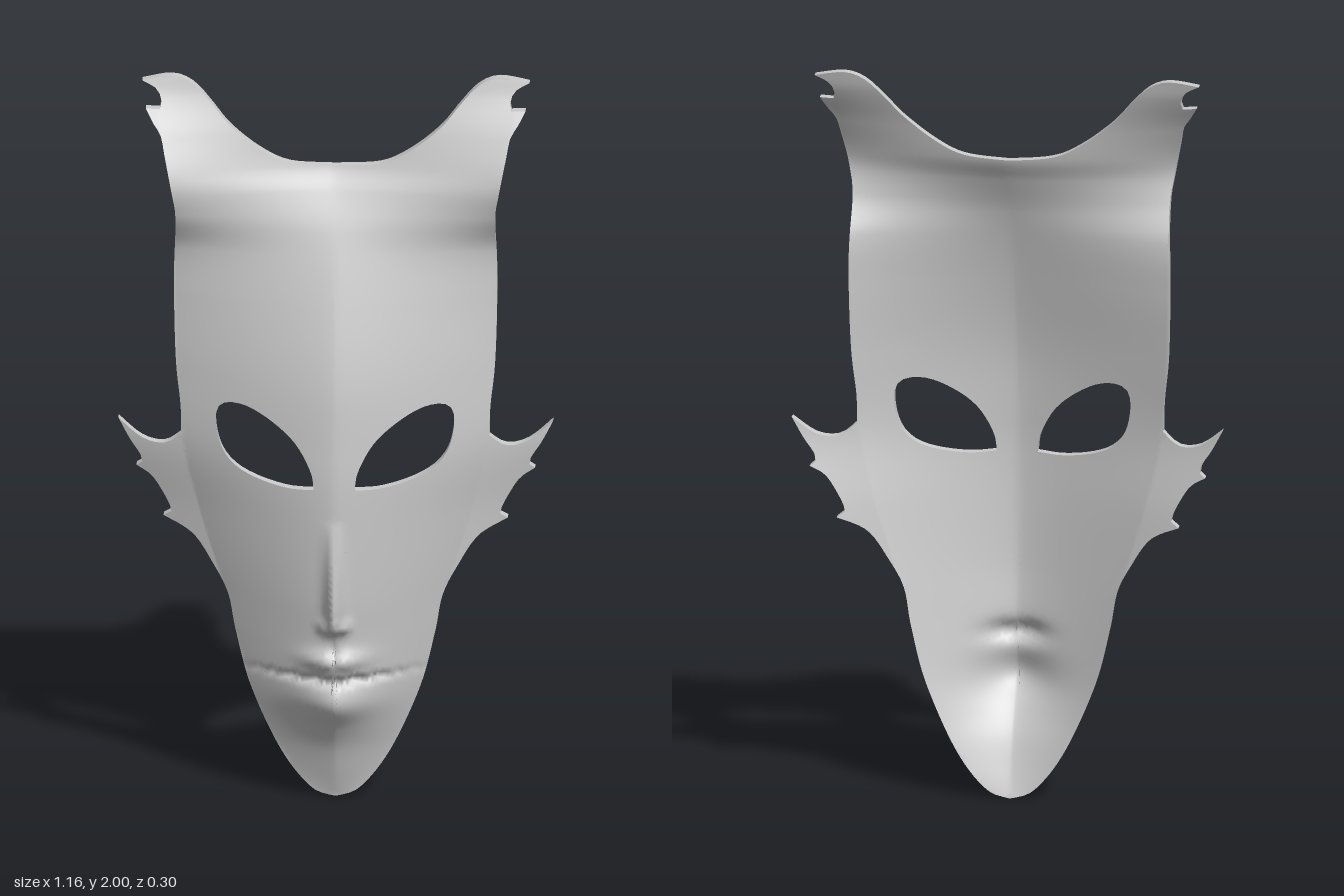
import * as THREE from 'three';
import { toCreasedNormals } from 'three/addons/utils/BufferGeometryUtils.js';

const V = (x, y) => new THREE.Vector2(x, y);
const THICK = 0.028, MAX_EDGE = 0.024;

// Smooth curve through [position, value] pairs
function table(pts) {
  const n = pts.length;
  const slope = pts.map((p, i) => {
    const a = pts[Math.max(i - 1, 0)], b = pts[Math.min(i + 1, n - 1)];
    return (b[1] - a[1]) / (b[0] - a[0]);
  });
  return (t) => {
    t = THREE.MathUtils.clamp(t, pts[0][0], pts[n - 1][0]);
    let i = 0;
    while (i < n - 2 && t > pts[i + 1][0]) i++;
    const d = pts[i + 1][0] - pts[i][0], s = (t - pts[i][0]) / d;
    const s2 = s * s, s3 = s2 * s;
    return (2 * s3 - 3 * s2 + 1) * pts[i][1] + (s3 - 2 * s2 + s) * d * slope[i]
      + (3 * s2 - 2 * s3) * pts[i + 1][1] + (s3 - s2) * d * slope[i + 1];
  };
}

// Depth of the centre line and of the side edge, and half width, by height
const centreZ = table([[0, -0.045], [0.07, -0.02], [0.15, 0.01], [0.22, 0.045], [0.3, 0.075], [0.4, 0.09],
  [0.5, 0.1], [0.6, 0.11], [0.75, 0.117], [0.9, 0.12], [1.0, 0.116], [1.2, 0.098], [1.4, 0.055],
  [1.6, -0.005], [1.7, -0.05], [1.76, -0.082], [1.85, -0.098], [2, -0.12]]);
const edgeZ = table([[0, -0.048], [0.2, -0.045], [0.6, -0.045], [0.8, -0.05], [1.0, -0.04], [1.2, -0.05],
  [1.4, -0.062], [1.54, -0.058], [1.64, -0.015], [1.73, 0], [1.85, -0.045], [1.95, -0.1], [2, -0.118]]);
const halfWidth = table([[0, 0.06], [0.1, 0.125], [0.2, 0.18], [0.31, 0.225], [0.46, 0.265], [0.6, 0.3],
  [0.8, 0.36], [1.0, 0.405], [1.2, 0.42], [1.6, 0.43], [1.8, 0.45], [2, 0.5]]);
const noseHeight = table([[0.47, 0], [0.5, 0.008], [0.53, 0.043], [0.57, 0.045], [0.65, 0.034], [0.75, 0.016], [0.83, 0]]);
const bump = (x, y, cx, cy, sx, sy) => Math.exp(-(((x - cx) / sx) ** 2) - ((y - cy) / sy) ** 2);

// Depth of the face at (x, y)
function depth(x, y, back) {
  x = Math.abs(x);
  const u = x / halfWidth(y), c = centreZ(y);
  const f = u < 1 ? u ** 1.4 : 1 + 0.9 * (u - 1);
  let z = c + (edgeZ(y) - c) * f;
  z += 0.038 * bump(x, y, 0, 0.305, 0.1, 0.065);         // lower lip and chin
  z += 0.024 * bump(x, y, 0.025, 0.425, 0.06, 0.028);    // upper lip
  if (back) return z - THICK;
  z -= 0.02 * bump(x, y, 0, 0.368, 0.15, 0.012);         // mouth line
  z -= 0.008 * bump(x, y, 0, 0.45, 0.012, 0.03);         // groove above the lip
  z += noseHeight(y) * Math.exp(-((x / 0.022) ** 2));    // nose ridge
  z += 0.014 * bump(x, y, 0.03, 0.525, 0.016, 0.02);     // nostrils
  return z;
}

// Splines joined at sharp tips
function outline(runs) {
  const out = [];
  runs.forEach((run) => {
    const c = new THREE.SplineCurve(run.map((p) => V(...p)));
    out.push(...c.getSpacedPoints(Math.max(2, Math.ceil(c.getLength() / 0.02))).slice(0, -1));
  });
  return out;
}

// One half of the mask: crest, ear tips, side, cheek fins, chin, centre line
const border = [
  [[0, 1.762], [0.12, 1.772], [0.2, 1.81], [0.28, 1.873], [0.33, 1.93], [0.38, 1.98], [0.435, 2], [0.515, 1.988]],
  [[0.515, 1.988], [0.478, 1.968], [0.464, 1.94], [0.468, 1.918]],
  [[0.468, 1.918], [0.505, 1.92]],
  [[0.505, 1.92], [0.485, 1.885], [0.465, 1.855], [0.455, 1.81], [0.435, 1.71], [0.425, 1.63], [0.43, 1.45],
    [0.425, 1.23], [0.412, 1.1], [0.41, 1.02]],
  [[0.41, 1.02], [0.455, 0.987], [0.515, 0.995], [0.578, 1.043]],
  [[0.578, 1.043], [0.547, 0.985], [0.52, 0.945], [0.515, 0.922]],
  [[0.515, 0.922], [0.53, 0.91]],
  [[0.53, 0.91], [0.49, 0.885], [0.46, 0.84], [0.44, 0.8], [0.437, 0.785]],
  [[0.437, 0.785], [0.458, 0.77]],
  [[0.458, 0.77], [0.38, 0.73], [0.325, 0.65], [0.285, 0.57], [0.265, 0.465], [0.225, 0.31], [0.145, 0.13],
    [0.065, 0.025], [0, 0]],
  [[0, 0], [0, 1.762]],
];
const eye = [
  [[0.055, 0.915], [0.063, 0.965], [0.105, 1.04], [0.17, 1.095], [0.24, 1.128], [0.298, 1.125], [0.317, 1.085],
    [0.305, 1.01], [0.27, 0.96], [0.21, 0.93], [0.125, 0.913], [0.055, 0.915]],
];

// Flat triangles of the whole mask, split until small
function flatTriangles() {
  const shape = new THREE.Shape(outline(border));
  shape.holes.push(new THREE.Path(outline(eye)));
  const g = new THREE.ShapeGeometry(shape), p = g.attributes.position, idx = g.index.array;
  const tris = [];
  const split = (a, b, c) => {
    const ab = a.distanceTo(b), bc = b.distanceTo(c), ca = c.distanceTo(a);
    const m = Math.max(ab, bc, ca);
    if (m <= MAX_EDGE) { tris.push([a, b, c]); return; }
    if (bc === m) [a, b, c] = [b, c, a];
    else if (ca === m) [a, b, c] = [c, a, b];
    const mid = a.clone().add(b).multiplyScalar(0.5);
    split(a, mid, c);
    split(mid, b, c);
  };
  for (let i = 0; i < idx.length; i += 3) {
    split(...[0, 1, 2].map((k) => V(p.getX(idx[i + k]), p.getY(idx[i + k]))));
  }
  const mirrored = tris.map(([a, b, c]) => [V(-a.x, a.y), V(-c.x, c.y), V(-b.x, b.y)]);
  return [...tris, ...mirrored];
}

// Front or back skin, with normals taken from the slope of the surface
function skin(tris, back) {
  const pos = [], nor = [], e = 0.003, n = new THREE.Vector3();
  tris.forEach(([a, b, c]) => (back ? [a, c, b] : [a, b, c]).forEach(({ x, y }) => {
    n.set((depth(x - e, y, back) - depth(x + e, y, back)) / (2 * e),
      (depth(x, y - e, back) - depth(x, y + e, back)) / (2 * e), 1).normalize();
    if (back) n.negate();
    pos.push(x, y, depth(x, y, back));
    nor.push(n.x, n.y, n.z);
  }));
  const g = new THREE.BufferGeometry();
  g.setAttribute('position', new THREE.Float32BufferAttribute(pos, 3));
  g.setAttribute('normal', new THREE.Float32BufferAttribute(nor, 3));
  return g;
}

// Wall along every open edge, around the border and the eyes
function rim(tris) {
  const key = (p) => (Math.abs(p.x) < 1e-6 ? '0' : p.x.toFixed(5)) + ',' + p.y.toFixed(5);
  const edges = new Map();
  tris.forEach((t) => t.forEach((a, i) => {
    const b = t[(i + 1) % 3], reverse = key(b) + '|' + key(a);
    if (edges.has(reverse)) edges.delete(reverse);
    else edges.set(key(a) + '|' + key(b), [a, b]);
  }));
  const pos = [];
  for (const [a, b] of edges.values()) {
    const [af, bf, ab, bb] = [[a, false], [b, false], [a, true], [b, true]]
      .map(([p, back]) => [p.x, p.y, depth(p.x, p.y, back)]);
    pos.push(...af, ...ab, ...bb, ...af, ...bb, ...bf);
  }
  const g = new THREE.BufferGeometry();
  g.setAttribute('position', new THREE.Float32BufferAttribute(pos, 3));
  return toCreasedNormals(g, 0.7);
}

export function createModel() {
  const group = new THREE.Group();
  group.name = 'mask';
  const material = new THREE.MeshStandardMaterial({ color: 0xcccccc, side: THREE.DoubleSide });
  const tris = flatTriangles();
  const parts = { maskFront: skin(tris, false), maskBack: skin(tris, true), maskRim: rim(tris) };
  for (const [name, geometry] of Object.entries(parts)) {
    const mesh = new THREE.Mesh(geometry, material);
    mesh.name = name;
    group.add(mesh);
  }
  return group;
}
